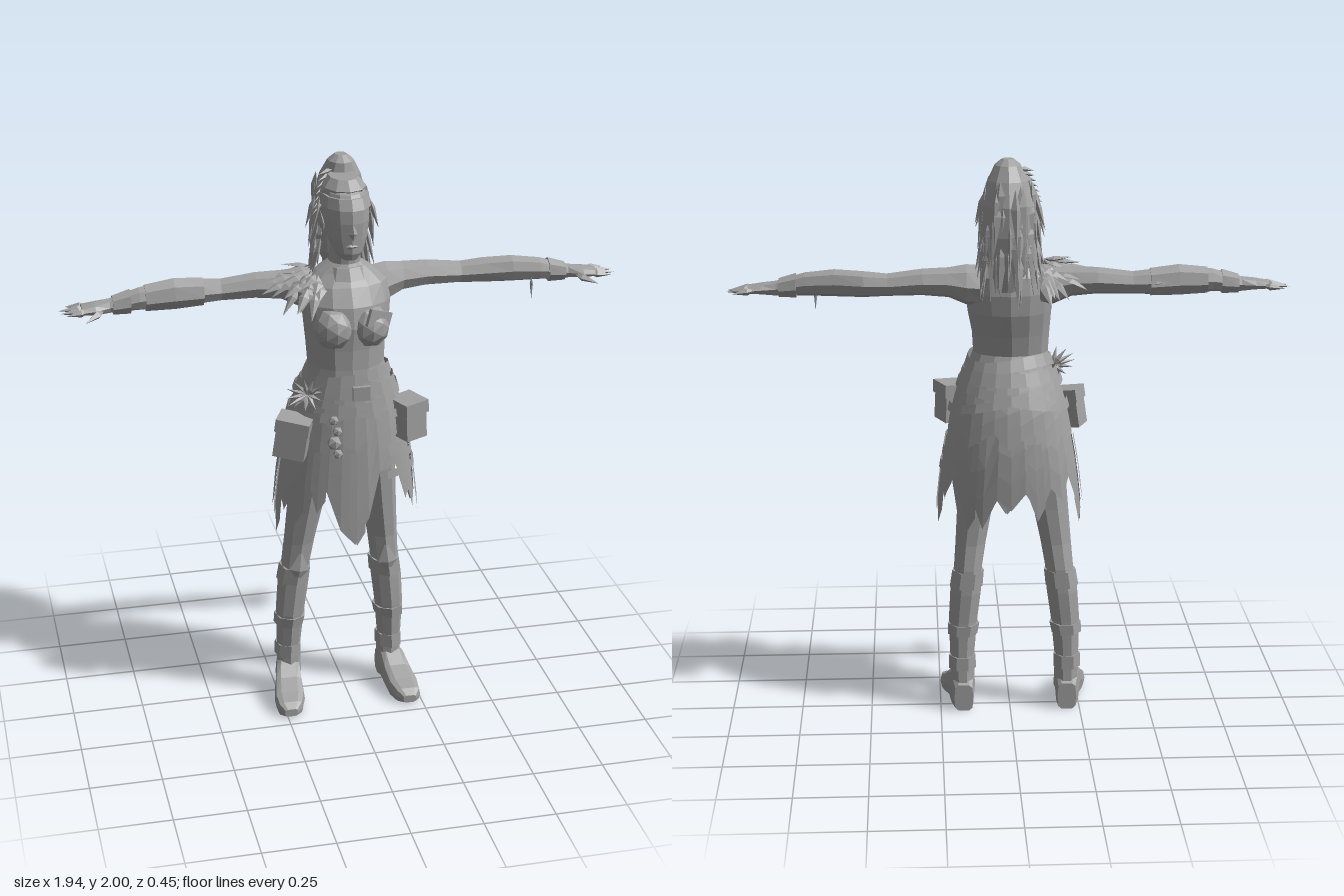
import * as THREE from 'three';
import { mergeGeometries } from 'three/addons/utils/BufferGeometryUtils.js';

const V = (x, y, z) => new THREE.Vector3(x, y, z);
const TAU = Math.PI * 2;

export function createModel() {
  const model = new THREE.Group();
  const grey = new THREE.MeshStandardMaterial({ color: 0xa0a0a0, flatShading: true, side: THREE.DoubleSide });
  grey.name = 'clay grey';

  let seed = 7;
  const rnd = (a = 0, b = 1) => {
    seed = (seed * 16807) % 2147483647;
    return a + (b - a) * (seed / 2147483647);
  };
  const add = (name, geos) => {
    const list = [].concat(geos).map(g => {
      const flat = g.index ? g.toNonIndexed() : g;
      flat.deleteAttribute('uv');
      flat.computeVertexNormals();
      return flat;
    });
    const mesh = new THREE.Mesh(mergeGeometries(list), grey);
    mesh.name = name;
    model.add(mesh);
    return mesh;
  };

  // Skin over a list of rings; closed rings get caps
  const loft = (rings, closed = true) => {
    const n = rings[0].length, pos = [], idx = [];
    rings.forEach(r => r.forEach(p => pos.push(p.x, p.y, p.z)));
    for (let i = 0; i < rings.length - 1; i++)
      for (let j = 0; j < (closed ? n : n - 1); j++) {
        const k = (j + 1) % n, a = i * n + j, b = i * n + k;
        idx.push(a, b, b + n, a, b + n, a + n);
      }
    if (closed) {
      const top = (rings.length - 1) * n;
      for (let j = 1; j < n - 1; j++) idx.push(0, j + 1, j, top, top + j, top + j + 1);
    }
    const g = new THREE.BufferGeometry();
    g.setAttribute('position', new THREE.Float32BufferAttribute(pos, 3));
    g.setIndex(idx);
    return g;
  };
  const circle = (n, f) => Array.from({ length: n }, (_, j) => f(Math.cos(j / n * TAU), Math.sin(j / n * TAU)));

  // Upright body: rows of [y, centre x, half width, front z, back z]
  const upright = (rows, n = 14) => loft(rows.map(([y, cx, rx, zf, zb]) =>
    circle(n, (c, s) => V(cx + rx * s, y, (zf + zb) / 2 + (zf - zb) / 2 * c))));

  // Leaf or strand: a flat diamond from base to tip, widest near the base
  const leaf = (base, tip, width, thick = 0.008, face = V(0, 0, 1)) => {
    const dir = tip.clone().sub(base), len = dir.length(), y = dir.normalize();
    const x = y.clone().cross(face);
    if (x.lengthSq() < 0.01) x.set(1, 0, 0).cross(y);
    x.normalize();
    const z = x.clone().cross(y);
    const g = new THREE.OctahedronGeometry(1);
    g.scale(width / 2, len / 2, thick);
    const p = g.attributes.position;
    for (let i = 0; i < p.count; i++) if (Math.abs(p.getY(i)) < 0.001) p.setY(i, -len * 0.15);
    g.applyMatrix4(new THREE.Matrix4().makeBasis(x, y, z).setPosition(base.clone().lerp(tip, 0.5)));
    return g;
  };
  const box = (w, h, d, x, y, z, rz = 0, ry = 0) =>
    new THREE.BoxGeometry(w, h, d).rotateZ(rz).rotateY(ry).translate(x, y, z);

  // Torso and neck
  add('torso', upright([
    [1.1, 0, 0.18, 0.17, -0.11], [1.2, 0, 0.17, 0.175, -0.1], [1.25, 0, 0.15, 0.17, -0.08],
    [1.31, -0.005, 0.133, 0.165, -0.055], [1.38, -0.005, 0.137, 0.165, -0.07], [1.46, 0, 0.148, 0.17, -0.095],
    [1.53, 0, 0.155, 0.155, -0.1], [1.59, 0, 0.145, 0.12, -0.09], [1.63, 0, 0.1, 0.09, -0.07],
    [1.66, 0, 0.055, 0.075, -0.045], [1.75, 0, 0.048, 0.08, -0.035]]));
  add('bust', [-1, 1].map(s => new THREE.IcosahedronGeometry(1, 1).scale(0.07, 0.075, 0.07).translate(s * 0.062, 1.455, 0.125)));
  add('chestPatch', box(0.1, 0.06, 0.012, 0.085, 1.49, 0.168, -0.35, 0.5));
  add('collar', upright([[1.61, 0, 0.085, 0.115, -0.065], [1.65, 0, 0.066, 0.09, -0.05]], 10));

  // Head and face
  add('head', upright([
    [1.69, 0, 0.03, 0.125, 0.04], [1.715, 0, 0.05, 0.138, 0.0], [1.76, 0, 0.068, 0.14, -0.04],
    [1.82, 0, 0.078, 0.143, -0.07], [1.87, 0, 0.08, 0.138, -0.08], [1.91, 0, 0.068, 0.11, -0.07],
    [1.94, 0, 0.035, 0.06, -0.04]], 12));
  add('nose', leaf(V(0, 1.765, 0.15), V(0, 1.83, 0.134), 0.032, 0.02));
  add('lips', leaf(V(-0.025, 1.742, 0.137), V(0.025, 1.742, 0.137), 0.018, 0.006));
  add('ears', [-1, 1].map(s => leaf(V(s * 0.074, 1.77, 0.03), V(s * 0.084, 1.84, 0.015), 0.035, 0.01, V(1, 0, 0))));
  add('headband', upright([[1.865, 0, 0.086, 0.145, -0.085], [1.9, 0, 0.079, 0.126, -0.08]], 12));

  // Hair cap, tail and loose strands
  add('hairCap', upright([
    [1.76, 0, 0.075, 0.015, -0.08], [1.83, 0, 0.091, 0.03, -0.1], [1.88, 0, 0.092, 0.06, -0.1],
    [1.92, 0, 0.075, 0.105, -0.095], [1.95, 0, 0.05, 0.07, -0.08]], 10));
  add('ponytail', upright([
    [1.56, 0.015, 0.03, -0.12, -0.17], [1.65, 0.01, 0.075, -0.08, -0.195], [1.75, 0.01, 0.09, -0.06, -0.205],
    [1.85, 0.01, 0.09, -0.04, -0.2], [1.93, 0.01, 0.07, -0.02, -0.17], [1.98, 0.01, 0.045, -0.03, -0.14],
    [2, 0.01, 0.02, -0.06, -0.11]], 10));
  const strands = [];
  for (let i = 0; i < 64; i++) {
    const a = rnd(-2, 2), x = 0.01 + 0.09 * Math.sin(a), z = -0.12 - 0.08 * Math.cos(a), y = rnd(1.7, 1.95);
    strands.push(leaf(V(x * 0.85, y, z * 0.95), V(x * rnd(0.9, 1.15), y - rnd(0.12, 0.22), z - rnd(-0.01, 0.025)),
      rnd(0.025, 0.045), 0.012, V(Math.sin(a), 0, -Math.cos(a))));
  }
  for (let i = 0; i < 20; i++) {
    const s = i % 2 ? 1 : -1, z = rnd(-0.09, 0.04), y = rnd(1.72, 1.9);
    strands.push(leaf(V(s * 0.083, y, z), V(s * rnd(0.09, 0.125), y - rnd(0.1, 0.17), z + rnd(-0.03, 0.02)), 0.028, 0.01, V(1, 0, 0)));
  }
  for (let i = 0; i < 7; i++) strands.push(leaf(V(-0.03, 1.96 - i * 0.012, -0.04), V(-0.08 - i * 0.006, 1.95 - i * 0.02, -0.02 + i * 0.01), 0.02));
  add('hairStrands', strands);

  // Arms and hands: rows of [x, y, z, half height, half depth]
  const armRows = [
    [0.1, 1.555, -0.01, 0.07, 0.07], [0.15, 1.56, -0.02, 0.07, 0.065], [0.21, 1.57, -0.03, 0.052, 0.052],
    [0.3, 1.573, -0.035, 0.046, 0.048], [0.42, 1.565, -0.038, 0.039, 0.042], [0.5, 1.567, -0.034, 0.045, 0.046],
    [0.6, 1.57, -0.02, 0.047, 0.042], [0.7, 1.565, -0.01, 0.04, 0.036], [0.8, 1.55, -0.005, 0.026, 0.028],
    [0.85, 1.548, 0.003, 0.021, 0.04], [0.895, 1.546, 0.003, 0.014, 0.044]];
  const armLoft = (rows, s, n) => loft(rows.map(([x, y, z, ry, rz]) => circle(n, (c, k) => V(s * x, y + ry * c, z + rz * k * s))));
  for (const s of [1, -1]) {
    const side = s > 0 ? 'left' : 'right';
    add(side + 'Arm', armLoft(armRows, s, 8));
    const fingers = [[-0.032, -0.052, 0.945], [-0.01, -0.014, 0.97], [0.014, 0.018, 0.968], [0.034, 0.045, 0.95]].map(
      ([z0, z1, x]) => leaf(V(s * 0.87, 1.547, z0), V(s * x, 1.54, z1), 0.026, 0.013, V(0, 1, 0)));
    fingers.push(leaf(V(s * 0.82, 1.545, 0.022), V(s * 0.89, 1.525, 0.085), 0.032, 0.014, V(0, 1, 0)));
    add(side + 'Fingers', fingers);
    add(side + 'WristWrap', armLoft([[0.73, 1.56, -0.008, 0.043, 0.041], [0.79, 1.552, -0.005, 0.033, 0.035]], s, 7));
  }
  add('rightBracer', armLoft([[0.48, 1.566, -0.035, 0.048, 0.05], [0.58, 1.57, -0.022, 0.054, 0.05], [0.68, 1.566, -0.012, 0.046, 0.043]], -1, 7));
  add('wristCord', leaf(V(0.665, 1.55, 0.02), V(0.668, 1.465, 0.02), 0.012, 0.005));

  // Feathered shoulder piece on the right
  const feathers = [];
  for (let row = 0; row < 4; row++)
    for (let i = 0; i < 10; i++) {
      const a = (i / 9 - 0.5) * 3 + rnd(-0.12, 0.12), c = Math.cos(a), k = Math.sin(a), r = 0.02 + row * 0.032;
      feathers.push(leaf(V(-0.1 - r * c, 1.645 - row * 0.012 - Math.abs(k) * 0.02, 0.005 + k * (0.05 + r * 0.35)),
        V(-0.12 - (r + 0.075) * c, 1.655 - row * 0.02 - Math.abs(k) * 0.08 + rnd(-0.025, 0.03), 0.005 + k * (0.085 + r * 0.55)),
        rnd(0.03, 0.05), 0.008, V(-c * 0.5, 1, k * 0.5)));
    }
  add('shoulderFeathers', feathers);

  // Legs and boots; the right leg stands a little wider
  const legRows = [
    [0.17, 0.07, -0.01, 0.045, 0.053], [0.172, 0.18, -0.008, 0.043, 0.05], [0.167, 0.33, 0, 0.052, 0.06],
    [0.157, 0.44, 0, 0.056, 0.065], [0.148, 0.53, 0.002, 0.051, 0.066], [0.138, 0.62, 0.01, 0.055, 0.062],
    [0.122, 0.75, 0.02, 0.064, 0.07], [0.105, 0.9, 0.03, 0.073, 0.084], [0.09, 1.08, 0.03, 0.078, 0.09]];
  // Foot rows: [z, x, bottom, top, half width]
  const footRows = [
    [-0.066, 0.168, 0, 0.1, 0.034], [-0.02, 0.172, 0, 0.14, 0.044], [0.03, 0.178, 0.012, 0.135, 0.046],
    [0.08, 0.186, 0.008, 0.095, 0.052], [0.14, 0.194, 0, 0.07, 0.055], [0.185, 0.2, 0, 0.055, 0.045], [0.206, 0.202, 0.006, 0.035, 0.024]];
  const sq = v => Math.sign(v) * Math.sqrt(Math.abs(v));
  for (const s of [1, -1]) {
    const side = s > 0 ? 'left' : 'right', wide = s > 0 ? 1 : 1.2;
    const legLoft = (rows, n = 9) => upright(rows.map(([x, y, z, rx, rz]) => [y, s * x * wide, rx, z + rz, z - rz]), n);
    add(side + 'Leg', legLoft(legRows));
    add(side + 'Foot', loft(footRows.map(([z, x, y0, y1, rx]) =>
      circle(10, (c, k) => V(s * (x + (wide - 1) * 0.18) + rx * sq(c), (y0 + y1) / 2 + (y1 - y0) / 2 * sq(k), z)))));
    add(side + 'BootWraps', [
      legLoft([[0.172, 0.15, -0.008, 0.05, 0.057], [0.171, 0.2, -0.008, 0.049, 0.056]], 7),
      legLoft([[0.17, 0.28, -0.003, 0.054, 0.061], [0.166, 0.32, 0, 0.058, 0.066]], 7),
      legLoft([[0.156, 0.46, 0.002, 0.06, 0.07], [0.149, 0.52, 0.004, 0.058, 0.071]], 7)]);
    add(side + 'KneePad', leaf(V(s * 0.152 * wide, 0.48, 0.068), V(s * 0.14 * wide, 0.6, 0.068), 0.07, 0.014));
  }

  // Skirt surface by height: [y, half width, front z, back z]
  const skirtRows = [[0.6, 0.255, 0.185, -0.14], [0.75, 0.248, 0.187, -0.143], [0.9, 0.232, 0.187, -0.148],
    [1.0, 0.215, 0.187, -0.145], [1.13, 0.19, 0.182, -0.125], [1.24, 0.155, 0.172, -0.085], [1.3, 0.135, 0.165, -0.055]];
  const onSkirt = (a, y, out) => {
    let i = 0;
    while (i < skirtRows.length - 2 && y > skirtRows[i + 1][0]) i++;
    const t = (y - skirtRows[i][0]) / (skirtRows[i + 1][0] - skirtRows[i][0]);
    const [rx, zf, zb] = [1, 2, 3].map(k => THREE.MathUtils.lerp(skirtRows[i][k], skirtRows[i + 1][k], t));
    return V((rx + out) * Math.sin(a), y, (zf + zb) / 2 + ((zf - zb) / 2 + out) * Math.cos(a));
  };
  // Cloth panel over angles a0 to a1 (0 is the front, positive to +x)
  const panel = (a0, a1, bottom, top, out, n, m = 4) => loft(Array.from({ length: m + 1 }, (_, i) =>
    Array.from({ length: n + 1 }, (_, j) => {
      const t = j / n, a = a0 + (a1 - a0) * t, lo = bottom(t, j, a);
      return onSkirt(a, lo + (top(a) - lo) * i / m, out);
    })), false);

  // Ragged skirt, starting at the back
  const hem = [0.78, 0.84, 0.76, 0.85, 0.8, 0.88, 0.79, 0.74, 0.83, 0.78, 0.9, 0.83, 0.94, 0.86, 0.72, 0.66,
    0.76, 0.93, 0.98, 0.9, 0.8, 0.86, 0.76, 0.84, 0.8, 0.87, 0.74, 0.83, 0.71, 0.82];
  add('skirt', panel(-Math.PI, Math.PI, (t, j) => hem[j % 30], () => 1.26, 0, 30, 5));
  add('overskirt', panel(0.45, 5.7, (t, j) => 1.0 + (j % 3) * 0.03, () => 1.25, 0.01, 24));
  const strips = [];
  [-1.9, -1.65, -1.4, -1.15, -0.9, -0.55, 0.02, 0.85, 1.1, 1.35, 1.6, 1.85, 2.5, 3.5].forEach((a, i) => {
    const tip = [0.7, 0.76, 0.68, 0.78, 0.74, 0.79, 0.66, 0.8, 0.75, 0.72, 0.77, 0.71, 0.7, 0.74][i];
    strips.push(panel(a - 0.12, a + 0.12, (t, j) => tip + [0.09, 0, 0.05][j], () => 1.02, 0.008 + (i % 2) * 0.006, 2, 3));
  });
  add('skirtStrips', strips);

  // Belts and side straps
  const belt = (a0, a1, mid, h, out) => panel(a0, a1, (t, j, a) => mid(a) - h / 2, a => mid(a) + h / 2, out, 20, 1);
  add('belts', [
    belt(0, TAU, () => 1.235, 0.045, 0.014),
    belt(0, TAU, a => 1.17 + 0.04 * Math.sin(a), 0.035, 0.018),
    belt(0, TAU, a => 1.17 - 0.05 * Math.sin(a), 0.03, 0.022)]);
  add('waistWrap', belt(0, TAU, a => 1.28 + 0.012 * Math.sin(a * 2), 0.04, 0.01));
  add('sideStraps', [belt(0.5, 2.3, () => 0.965, 0.03, 0.014), belt(0.5, 2.3, () => 0.915, 0.03, 0.016)]);
  add('buckle', box(0.06, 0.05, 0.015, 0.02, 1.235, 0.19));

  // Pouches with flaps
  add('rightPouch', [box(0.11, 0.12, 0.09, -0.21, 1.07, 0.14, -0.15, -0.4), box(0.118, 0.045, 0.1, -0.203, 1.125, 0.14, -0.15, -0.4)]);
  add('leftPouch', [box(0.085, 0.12, 0.1, 0.2, 1.1, 0.13, 0.05, 0.4), box(0.095, 0.045, 0.11, 0.2, 1.155, 0.13, 0.05, 0.4)]);

  // Feather tuft and hanging beads
  const tuft = [];
  for (let i = 0; i < 12; i++) {
    const a = i / 12 * TAU;
    tuft.push(leaf(V(-0.16, 1.23, 0.15), V(-0.175 + 0.07 * Math.cos(a), 1.24 + 0.055 * Math.sin(a), 0.16 + rnd(-0.03, 0.035)), 0.018, 0.005));
  }
  add('beltTuft', tuft);
  add('hangingBeads', [1.15, 1.11, 1.07, 1.03].map((y, i) =>
    new THREE.IcosahedronGeometry(i === 2 ? 0.026 : 0.018, 0).translate(-0.08 + (i % 2) * 0.012, y, 0.205 + i * 0.004)));

  return model;
}
